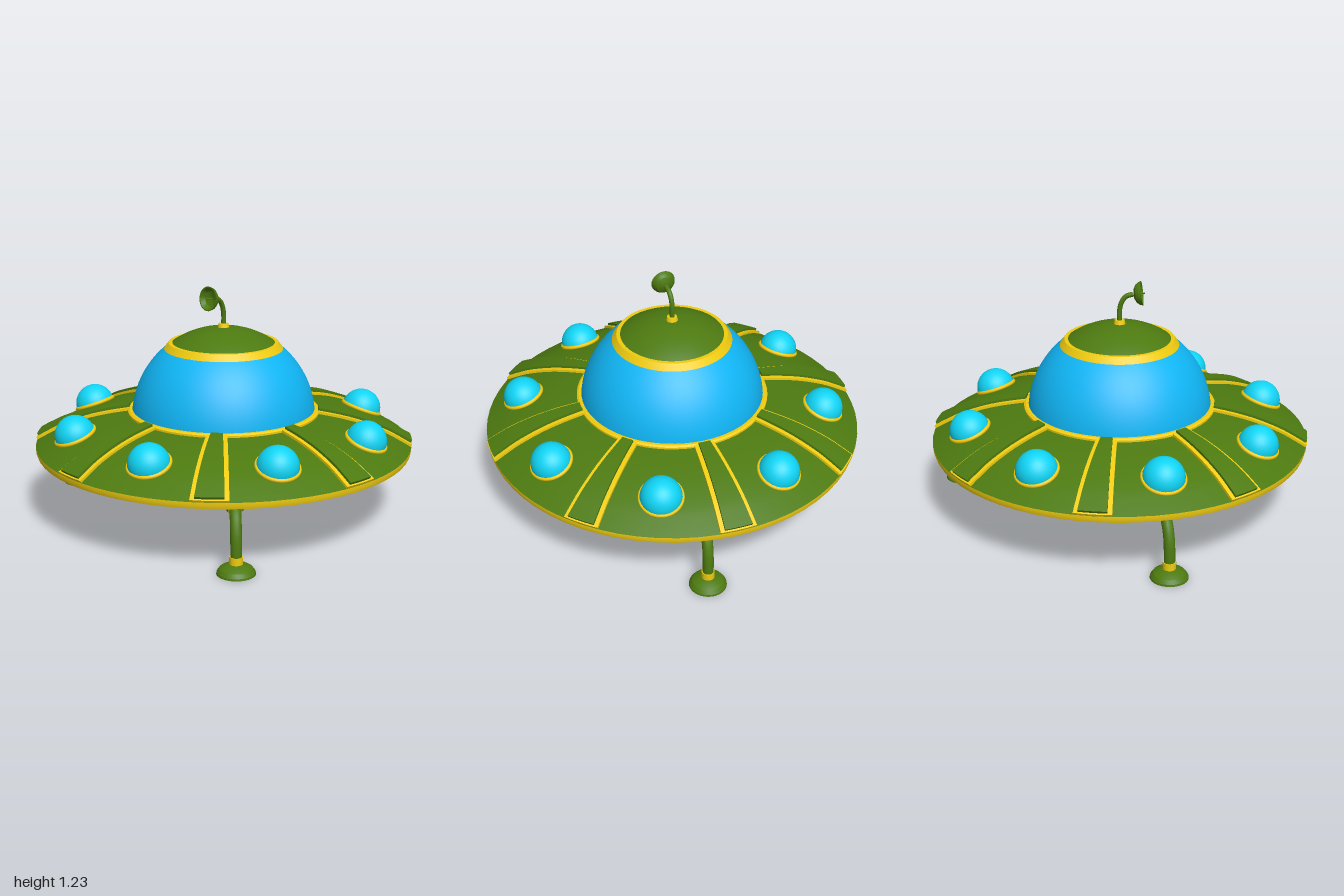
import * as THREE from 'three';
import { toCreasedNormals } from 'three/addons/utils/BufferGeometryUtils.js';

const mat = (color, side = THREE.FrontSide) => new THREE.MeshStandardMaterial({ color, side });
const GREEN = mat(0x4d7a10), YELLOW = mat(0xf0cc10), BRONZE = mat(0xc88a14);
const DOME = mat(0x10b6f6), WINDOW = mat(0x10d4f4);
const GREEN_THIN = mat(0x4d7a10, THREE.DoubleSide);

function add(parent, name, geometry, material, x = 0, y = 0, z = 0) {
  const mesh = new THREE.Mesh(geometry, material);
  mesh.name = name;
  mesh.position.set(x, y, z);
  parent.add(mesh);
  return mesh;
}

function group(parent, name, angle = 0) {
  const g = new THREE.Group();
  g.name = name;
  g.rotation.y = angle;
  parent.add(g);
  return g;
}

// Lathe from [radius, height] pairs, listed from the bottom up, with sharp corners kept
const lathe = (pts, segments = 64) => toCreasedNormals(
  new THREE.LatheGeometry(pts.map(([r, y]) => new THREE.Vector2(r, y)), segments), 0.4);

// Profile of a spherical band between two heights
function band(R, cy, y0, y1, n = 12) {
  const a0 = Math.asin((y0 - cy) / R), a1 = Math.asin(Math.min(1, (y1 - cy) / R));
  return Array.from({ length: n + 1 }, (_, i) => {
    const a = a0 + (a1 - a0) * i / n;
    return [Math.max(0, R * Math.cos(a)), cy + R * Math.sin(a)];
  });
}

// Upper hull curve, from the rim inward
const hullCurve = new THREE.SplineCurve(
  [[1, 0.385], [0.94, 0.418], [0.86, 0.458], [0.74, 0.5], [0.62, 0.528], [0.49, 0.548]]
    .map(([r, y]) => new THREE.Vector2(r, y)));

// Box bent over the upper hull: t0 (outer) to t1 (inner) along the curve,
// angular width plus a constant width, and a height above the surface
function hullStrip(t0, t1, centre, angular, width, height) {
  const g = new THREE.BoxGeometry(1, 1, 1, 3, 1, 16);
  const p = g.attributes.position;
  for (let i = 0; i < p.count; i++) {
    const t = t1 + (t0 - t1) * (p.getZ(i) + 0.5);
    const c = hullCurve.getPoint(t), d = hullCurve.getTangent(t);
    const h = p.getY(i) > 0 ? height : -0.01;
    const a = centre + p.getX(i) * (angular + width / c.x);
    const r = c.x + d.y * h;
    p.setXYZ(i, r * Math.sin(a), c.y - d.x * h, r * Math.cos(a));
  }
  g.computeVertexNormals();
  return g;
}

function buildHull(model) {
  const hull = group(model, 'hull');
  add(hull, 'upperHull', lathe(hullCurve.getPoints(20).map(v => [v.x, v.y])), GREEN);
  add(hull, 'rimBand', lathe([[0.975, 0.346], [0.995, 0.353], [1, 0.37], [1, 0.386]]), YELLOW);
  add(hull, 'lowerHull', lathe([[0, 0.2], [0.24, 0.2], [0.25, 0.17], [0.305, 0.17], [0.345, 0.232],
    [0.48, 0.232], [0.52, 0.268], [0.75, 0.305], [0.985, 0.348]]), GREEN);
  add(hull, 'bellyBowl', lathe([...band(0.32, 0.42, 0.1001, 0.187), [0, 0.187]], 40), BRONZE);

  // Bulbs under the hull
  for (let i = 0; i < 12; i++) {
    const a = i * Math.PI / 6;
    const bulb = add(hull, 'bellyLight', new THREE.SphereGeometry(0.04, 16, 10), BRONZE,
      0.7 * Math.sin(a), 0.294, 0.7 * Math.cos(a));
    bulb.scale.y = 0.8;
  }
}

function buildPanelsAndWindows(model) {
  const step = Math.PI / 4, half = 4.7 * Math.PI / 180;
  for (let i = 0; i < 8; i++) {
    // Raised panel with a yellow frame on both sides and the outer end
    const panel = group(model, 'hullPanel', (i + 0.5) * step);
    add(panel, 'panelPlate', hullStrip(0.05, 0.97, 0, 2 * half, -0.022, 0.026), GREEN);
    add(panel, 'panelFrameEnd', hullStrip(0.015, 0.06, 0, 2 * half, 0.02, 0.012), YELLOW);
    for (const s of [-1, 1])
      add(panel, 'panelFrameSide', hullStrip(0.015, 0.98, s * half, 0, 0.022, 0.013), YELLOW);

    // Round window leaning with the hull
    const spoke = group(model, 'windowSpoke', i * step);
    const port = group(spoke, 'window');
    port.position.set(0, 0.482, 0.808);
    port.rotation.x = 0.36;
    add(port, 'windowGlass', new THREE.SphereGeometry(0.106, 28, 18), WINDOW);
    const ring = add(port, 'windowRing', new THREE.TorusGeometry(0.104, 0.011, 8, 32), YELLOW);
    ring.rotation.x = Math.PI / 2;
  }
}

function buildDome(model) {
  const dome = group(model, 'dome');
  const R = 0.488, cy = 0.51;
  add(dome, 'domeCollar', lathe([[0.51, 0.53], [0.51, 0.555], [0.5, 0.562], [0.47, 0.562]]), YELLOW);
  add(dome, 'domeGlass', lathe(band(R, cy, 0.545, 0.888, 16)), DOME);
  add(dome, 'domeBand', lathe([[0.304, 0.88], [0.314, 0.884], [0.29, 0.917], [0.27, 0.917]]), YELLOW);
  add(dome, 'domeCap', lathe(band(R, cy, 0.905, 0.998)), GREEN);
}

function buildAntenna(model) {
  const antenna = group(model, 'antenna');
  add(antenna, 'antennaCollar', new THREE.CylinderGeometry(0.026, 0.032, 0.026, 20), YELLOW, 0, 1.004, 0);
  const path = new THREE.CatmullRomCurve3([[0, 0.99, 0], [0, 1.07, 0], [-0.01, 1.115, 0.005],
    [-0.03, 1.145, 0.017], [-0.062, 1.157, 0.034]].map(p => new THREE.Vector3(...p)));
  add(antenna, 'antennaStem', new THREE.TubeGeometry(path, 20, 0.013, 10), GREEN);

  // Dish opening along its own +y, turned to face outward
  const dish = group(antenna, 'antennaDish');
  dish.position.set(-0.062, 1.157, 0.034);
  dish.quaternion.setFromUnitVectors(new THREE.Vector3(0, 1, 0),
    new THREE.Vector3(-0.88, 0.12, 0.42).normalize());
  add(dish, 'dishBowl', lathe([[0, 0], [0.025, 0.004], [0.047, 0.015], [0.059, 0.03], [0.064, 0.046],
    [0.058, 0.046], [0.04, 0.026], [0, 0.014]], 28), GREEN_THIN);
  add(dish, 'dishFeed', new THREE.CylinderGeometry(0.004, 0.004, 0.05, 8), GREEN, 0, 0.035, 0);
}

function buildLegs(model) {
  for (const degrees of [105, 225, -15]) {
    const leg = group(model, 'leg', degrees * Math.PI / 180);
    const R = 0.918;
    const path = new THREE.CatmullRomCurve3([[R, 0.04], [R, 0.12], [0.907, 0.2], [0.875, 0.265], [0.81, 0.315]]
      .map(([r, y]) => new THREE.Vector3(0, y, r)));
    add(leg, 'legStrut', new THREE.TubeGeometry(path, 24, 0.028, 14), GREEN);
    add(leg, 'foot', lathe([[0, 0], [0.095, 0], [0.093, 0.01], [0.08, 0.028], [0.055, 0.043], [0.028, 0.05], [0, 0.052]], 32),
      GREEN, 0, 0, R);
    add(leg, 'ankleRing', new THREE.CylinderGeometry(0.033, 0.033, 0.036, 20), YELLOW, 0, 0.068, R);

    // Socket where the strut meets the hull
    const socket = group(leg, 'legSocket');
    socket.position.set(0, 0.306, 0.825);
    socket.rotation.x = -0.93;
    add(socket, 'socketCap', new THREE.CylinderGeometry(0.042, 0.042, 0.035, 20), GREEN);
    add(socket, 'socketRing', new THREE.CylinderGeometry(0.035, 0.035, 0.012, 20), YELLOW, 0, -0.023, 0);
  }
}

export function createModel() {
  const model = new THREE.Group();
  model.name = 'flyingSaucer';
  buildHull(model);
  buildPanelsAndWindows(model);
  buildDome(model);
  buildAntenna(model);
  buildLegs(model);
  return model;
}
